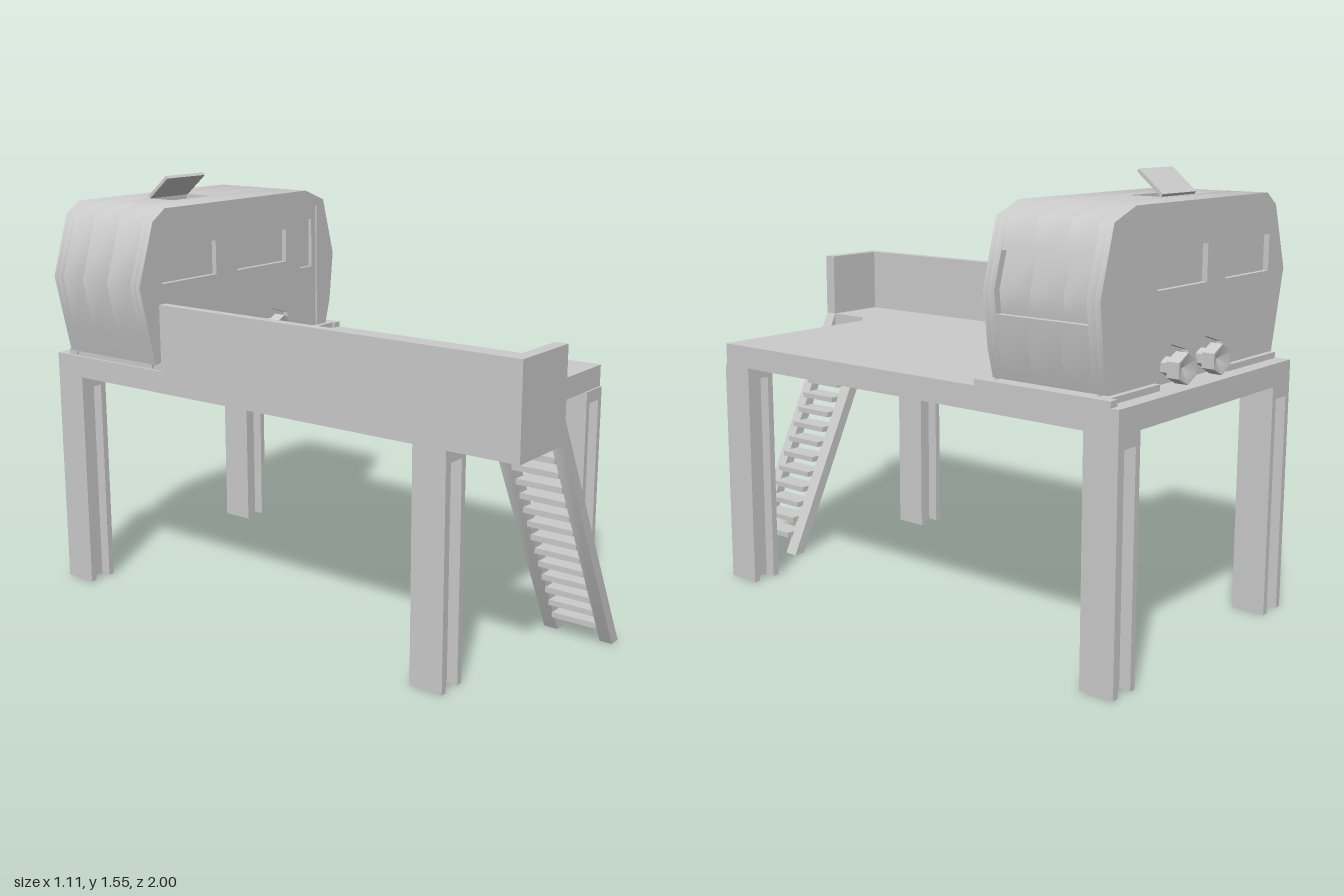
import * as THREE from 'three';
import { toCreasedNormals } from 'three/addons/utils/BufferGeometryUtils.js';

const material = new THREE.MeshStandardMaterial({ color: 0xcccccc });
const doubleSided = new THREE.MeshStandardMaterial({ color: 0xcccccc, side: THREE.DoubleSide });

function add(parent, name, geometry, mat = material) {
  const mesh = new THREE.Mesh(geometry, mat);
  mesh.name = name;
  parent.add(mesh);
  return mesh;
}

// Box given by its limits on each axis
function box(parent, name, [x0, x1], [y0, y1], [z0, z1]) {
  const mesh = add(parent, name, new THREE.BoxGeometry(x1 - x0, y1 - y0, z1 - z0));
  mesh.position.set((x0 + x1) / 2, (y0 + y1) / 2, (z0 + z1) / 2);
  return mesh;
}

// Outline in x-y extruded from z0 to z1, with optional holes
function slab(parent, name, points, z0, z1, holes = []) {
  const toVectors = (list) => list.map(([x, y]) => new THREE.Vector2(x, y));
  const shape = new THREE.Shape(toVectors(points));
  holes.forEach((h) => shape.holes.push(new THREE.Path(toVectors(h))));
  const geometry = new THREE.ExtrudeGeometry(shape, { depth: z1 - z0, bevelEnabled: false });
  geometry.translate(0, 0, z0);
  return add(parent, name, toCreasedNormals(geometry, 0.96));
}

const rect = (x0, x1, y0, y1) => [[x0, y0], [x1, y0], [x1, y1], [x0, y1]];

// Deck, parapet and H-beam legs
function makePlatform() {
  const platform = new THREE.Group();
  platform.name = 'platform';
  box(platform, 'deck', [-0.49, 0.55], [0.815, 0.895], [-1, 0.735]);
  box(platform, 'landing', [-0.49, -0.215], [0.815, 0.895], [0.735, 1]);
  box(platform, 'sideWall', [-0.49, -0.455], [0.815, 1.135], [-0.46, 1]);
  box(platform, 'frontWall', [-0.455, -0.215], [0.815, 1.135], [0.955, 1]);

  for (const x of [-0.4325, 0.4925]) {
    for (const z of [0.68, -0.9375]) {
      const leg = new THREE.Group();
      leg.name = 'leg';
      for (const side of [-1, 1]) {
        box(leg, 'flange', [side * 0.046 - 0.0115, side * 0.046 + 0.0115], [0, 0.815], [-0.0625, 0.0625]);
      }
      box(leg, 'web', [-0.035, 0.035], [0, 0.775], [-0.022, 0.022]);
      box(leg, 'legHead', [-0.035, 0.035], [0.77, 0.815], [-0.0625, 0.0625]);
      leg.position.set(x, 0, z);
      platform.add(leg);
    }
  }
  return platform;
}

function makeStairs() {
  const stairs = new THREE.Group();
  stairs.name = 'stairs';
  const side = [[-0.215, 0.81], [0.195, 0], [0.24, 0], [-0.215, 0.895]];
  slab(stairs, 'stringer', side, 0.735, 0.788);
  slab(stairs, 'stringer', side, 0.953, 1);
  for (let i = 0; i < 14; i++) {
    const y = 0.07 + i * 0.0565;
    const x = 0.24 - 0.508 * y;
    box(stairs, 'tread', [x - 0.052, x + 0.028], [y - 0.01, y + 0.01], [0.785, 0.956]);
  }
  return stairs;
}

// Trailer outline, optionally notched for the end window and the roof hatch
function bodyOutline(endWindow, hatch, bottom = []) {
  return [
    [-0.49, 0.915], ...bottom, [0.495, 0.915], [0.522, 1.01],
    ...(endWindow
      ? [[0.536, 1.125], [0.511, 1.125], [0.52, 1.2], [0.485, 1.32], [0.51, 1.32]]
      : [[0.545, 1.2]]),
    [0.482, 1.422], [0.37, 1.465],
    ...(hatch ? [[-0.005, 1.465], [-0.005, 1.41], [-0.208, 1.41], [-0.208, 1.465]] : []),
    [-0.42, 1.465], [-0.482, 1.422], [-0.555, 1.2], [-0.512, 1.01],
  ];
}

function makeTrailer() {
  const trailer = new THREE.Group();
  trailer.name = 'trailer';
  const half = 0.219, skin = 0.02, core = half - skin;

  // Body core in slices across its width
  const cuts = [-core, -0.171, -0.069, 0.056, 0.174, core];
  for (let i = 0; i < 5; i++) {
    slab(trailer, 'bodyCore', bodyOutline(i > 0 && i < 4, i === 2), cuts[i], cuts[i + 1]);
  }

  // Side skins with window openings and wheel arches
  const arch = (x) => [
    [x - 0.097, 0.915], [x - 0.097, 0.995], [x, 1.025], [x + 0.094, 0.995], [x + 0.094, 0.915],
  ];
  const arches = [...arch(-0.05), ...arch(0.156)];
  const windows = [rect(-0.445, -0.16, 1.2, 1.325), rect(-0.045, 0.245, 1.2, 1.325)];
  slab(trailer, 'backSide', bodyOutline(false, false, arches), -half, -core, windows);
  const doorway = [[0.315, 0.915], [0.315, 1.4], [0.438, 1.4], [0.438, 0.915]];
  slab(trailer, 'frontSide', bodyOutline(false, false, [...arches, ...doorway]), core, half, windows);
  slab(trailer, 'door', rect(0.315, 0.438, 0.915, 1.4), core, half - 0.006, [rect(0.337, 0.412, 1.16, 1.35)]);

  // Open roof hatch lid, hinged at the back
  const lid = add(trailer, 'hatchLid', new THREE.BoxGeometry(0.203, 0.012, 0.122));
  lid.rotation.x = -0.7;
  lid.position.set(-0.1065, 1.508, -0.02);

  // Chassis rails
  box(trailer, 'chassis', [-0.48, 0.52], [0.893, 0.916], [-0.19, 0.19]);
  for (const z of [-0.22, 0.22]) {
    box(trailer, 'rail', [-0.48, -0.15], [0.893, 0.916], [z - 0.02, z + 0.02]);
    box(trailer, 'rail', [0.25, 0.52], [0.893, 0.916], [z - 0.02, z + 0.02]);
  }
  box(trailer, 'endRail', [0.515, 0.55], [0.893, 0.916], [-0.265, 0.25]);

  // Six-sided dished wheels on short axles
  const profile = [[0.036, 0], [0.036, 0.036], [0.06, 0.036], [0.06, 0.081], [0.052, 0.081], [0, 0.058]];
  const lathe = new THREE.LatheGeometry(profile.map(([r, y]) => new THREE.Vector2(r, y)), 6);
  lathe.rotateX(Math.PI / 2);
  lathe.scale(1, 0.85, 1);
  const wheelGeometry = toCreasedNormals(lathe, 0.6);
  for (const x of [-0.052, 0.156]) {
    for (const side of [-1, 1]) {
      const wheel = add(trailer, 'wheel', wheelGeometry, doubleSided);
      wheel.position.set(x, 0.955, side * core);
      if (side < 0) wheel.rotation.y = Math.PI;
    }
  }
  trailer.position.z = -0.706;
  return trailer;
}

export function createModel() {
  const model = new THREE.Group();
  model.name = 'trailerOnPlatform';
  model.add(makePlatform(), makeStairs(), makeTrailer());
  return model;
}
